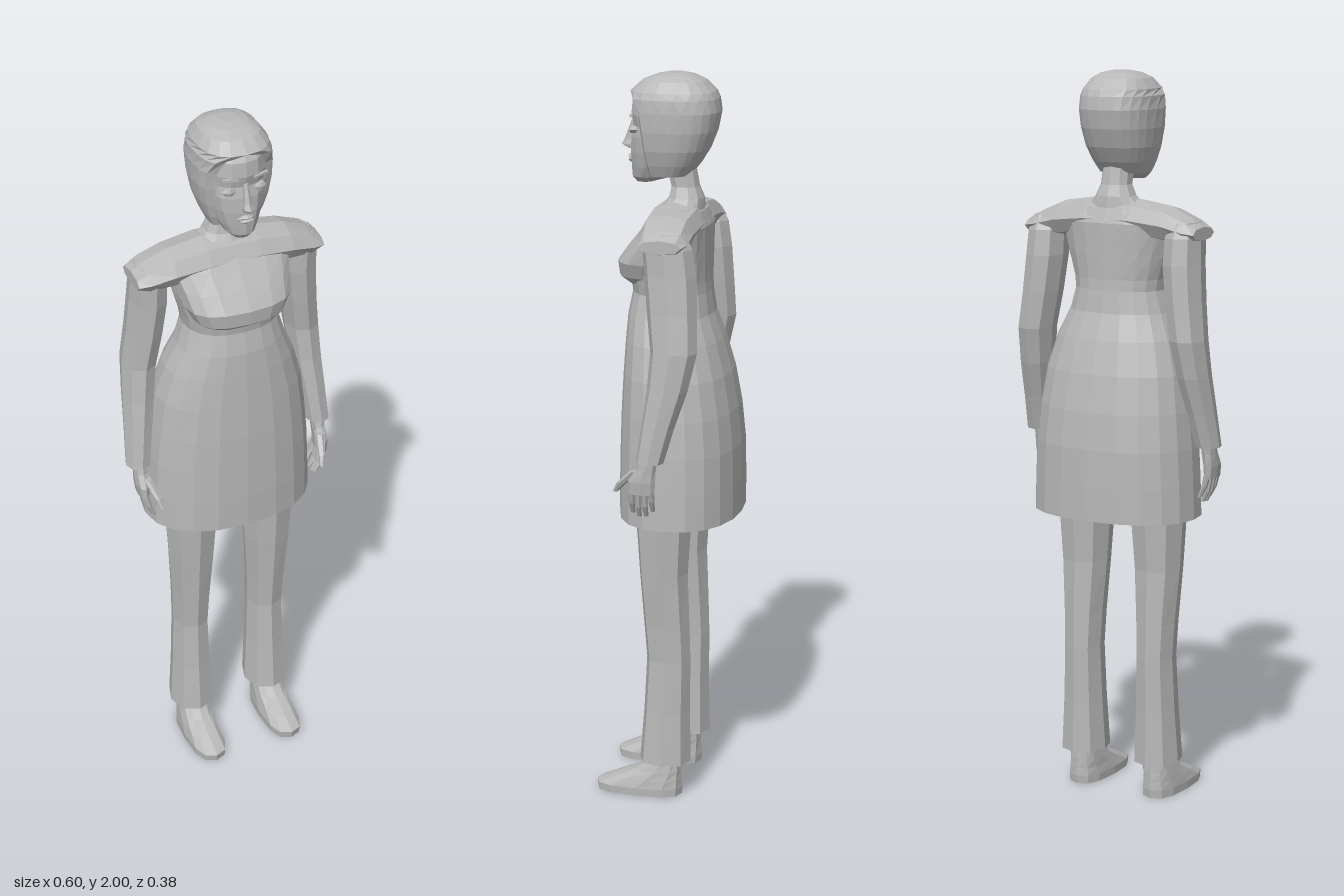
import * as THREE from 'three';

const grey = new THREE.MeshStandardMaterial({ color: 0xb8b8b8, side: THREE.DoubleSide });
grey.name = 'plain grey';

// Faceted loft through level rings [y, centreX, halfWidth, zFront, zBack, frontGapAngle], listed upwards.
function loft(rings, { n = 8, power = 2.4, bottom = true, top = true, arc = false } = {}) {
  const pts = rings.map(([y, cx, rx, zf, zb, gap = 0]) => {
    const row = [];
    for (let j = 0; j <= n; j++) {
      const a = gap + (j / n) * (Math.PI * 2 - 2 * gap);
      const bend = (v) => Math.sign(v) * Math.abs(v) ** (2 / power);
      const k = arc && gap > 0 && (j === 0 || j === n) ? 0.86 : 1; // turn open edges inwards
      row.push([cx + rx * bend(Math.sin(a)) * k, y, (zf + zb) / 2 + ((zf - zb) / 2) * bend(Math.cos(a)) * k]);
    }
    return row;
  });
  const out = [];
  const tri = (...p) => p.forEach((q) => out.push(...q));
  for (let i = 0; i < pts.length - 1; i++) {
    for (let j = 0; j < n; j++) {
      const [a, b, c, d] = [pts[i][j], pts[i][j + 1], pts[i + 1][j + 1], pts[i + 1][j]];
      tri(a, b, c);
      tri(a, c, d);
    }
  }
  const cap = (row, r, up) => {
    const c = [r[1], r[0], (r[3] + r[4]) / 2];
    for (let j = 0; j < n; j++) up ? tri(c, row[j], row[j + 1]) : tri(c, row[j + 1], row[j]);
  };
  if (bottom) cap(pts[0], rings[0], false);
  if (top) cap(pts.at(-1), rings.at(-1), true);
  const g = new THREE.BufferGeometry();
  g.setAttribute('position', new THREE.Float32BufferAttribute(out, 3));
  g.computeVertexNormals();
  return g;
}

export function createModel() {
  const model = new THREE.Group();
  const add = (name, geometry, parent = model) => {
    const m = new THREE.Mesh(geometry, grey);
    m.name = name;
    parent.add(m);
    return m;
  };

  // Dress, open at the hem
  add('dress', loft([
    [0.805, 0, 0.24, 0.14, -0.19], [0.9, 0, 0.237, 0.14, -0.19], [1.0, 0, 0.232, 0.138, -0.188],
    [1.1, 0, 0.222, 0.135, -0.178], [1.2, 0, 0.207, 0.13, -0.16], [1.29, 0, 0.18, 0.125, -0.135],
    [1.36, 0, 0.148, 0.12, -0.11], [1.42, 0, 0.13, 0.108, -0.102], [1.45, 0, 0.135, 0.112, -0.1],
    [1.52, 0, 0.155, 0.1, -0.1], [1.6, 0, 0.17, 0.06, -0.1], [1.64, 0, 0.13, 0.03, -0.085],
  ], { n: 20, power: 2.3, bottom: false }));

  // Bodice yoke overhanging the waist
  add('bodice', loft([
    [1.435, 0, 0.09, 0.105, 0], [1.465, 0, 0.125, 0.142, -0.02], [1.505, 0, 0.145, 0.145, -0.04],
    [1.55, 0, 0.155, 0.112, -0.06], [1.6, 0, 0.17, 0.07, -0.08], [1.65, 0, 0.12, 0.03, -0.07],
  ], { n: 16, power: 2.5 }));

  // Shoulder yoke, lofted sideways
  const shoulders = loft([
    [-0.262, -1.58, 0.018, 0.035, -0.08], [-0.23, -1.585, 0.035, 0.045, -0.09], [-0.165, -1.6, 0.048, 0.055, -0.09],
    [-0.07, -1.61, 0.052, 0.06, -0.095], [0.07, -1.61, 0.052, 0.06, -0.095], [0.165, -1.6, 0.048, 0.055, -0.09],
    [0.23, -1.585, 0.035, 0.045, -0.09], [0.262, -1.58, 0.018, 0.035, -0.08],
  ], { n: 8, power: 2.2 });
  add('shoulders', shoulders.rotateZ(-Math.PI / 2));

  add('neck', loft([
    [1.62, 0, 0.1, 0.045, -0.085], [1.67, 0, 0.055, 0.015, -0.08],
    [1.7, 0, 0.042, 0.008, -0.068], [1.78, 0, 0.04, 0.03, -0.055],
  ], { n: 10 }));

  // Head and face
  const head = new THREE.Group();
  head.name = 'head';
  model.add(head);
  add('face', loft([
    [1.708, 0, 0.022, 0.103, 0.06], [1.722, 0, 0.04, 0.115, 0.01], [1.75, 0, 0.058, 0.117, -0.04],
    [1.79, 0, 0.073, 0.119, -0.07], [1.83, 0, 0.083, 0.117, -0.09], [1.86, 0, 0.086, 0.11, -0.1],
    [1.89, 0, 0.087, 0.117, -0.1], [1.93, 0, 0.084, 0.113, -0.1], [1.965, 0, 0.06, 0.09, -0.08],
  ], { n: 16, power: 2.2 }), head);
  add('hair', loft([
    [1.73, 0, 0.066, 0.085, -0.045, 0.95], [1.76, 0, 0.08, 0.1, -0.07, 0.92], [1.8, 0, 0.093, 0.112, -0.095, 0.88],
    [1.85, 0, 0.101, 0.122, -0.115, 0.84], [1.9, 0, 0.103, 0.125, -0.125, 0.75], [1.935, 0, 0.1, 0.125, -0.12, 0.5],
    [1.953, 0, 0.094, 0.116, -0.112, 0], [1.98, 0, 0.075, 0.085, -0.085, 0], [1.994, 0, 0.052, 0.05, -0.055, 0],
    [2.0, 0, 0.025, 0.02, -0.03, 0],
  ], { n: 18, power: 2.5, bottom: false, arc: true }), head);
  add('nose', loft([
    [1.795, 0, 0.012, 0.128, 0.1], [1.805, 0, 0.015, 0.145, 0.1],
    [1.82, 0, 0.011, 0.137, 0.1], [1.87, 0, 0.007, 0.118, 0.1],
  ], { n: 6 }), head);
  add('lips', loft([
    [1.758, 0, 0.012, 0.12, 0.1], [1.765, 0, 0.021, 0.127, 0.1], [1.77, 0, 0.026, 0.121, 0.1],
    [1.775, 0, 0.021, 0.127, 0.1], [1.782, 0, 0.01, 0.12, 0.1],
  ], { n: 8, power: 2 }), head);

  for (const s of [1, -1]) {
    const side = s > 0 ? 'left' : 'right';
    const at = (rings) => rings.map(([y, x, ...rest]) => [y, s * x, ...rest]);

    // Eye and brow
    add(side + 'Eye', loft(at([
      [1.842, 0.042, 0.01, 0.112, 0.09], [1.851, 0.042, 0.02, 0.114, 0.085], [1.86, 0.042, 0.011, 0.111, 0.09],
    ]), { n: 8, power: 2 }), head);
    const brow = add(side + 'Brow', new THREE.BoxGeometry(0.042, 0.006, 0.008), head);
    brow.position.set(s * 0.042, 1.886, 0.109);
    brow.rotation.set(0, s * 0.25, s * 0.06);

    // Sleeved arm
    add(side + 'Arm', loft(at([
      [1.005, 0.268, 0.034, 0.04, -0.035], [1.1, 0.258, 0.038, 0.028, -0.062], [1.2, 0.247, 0.043, 0.015, -0.095],
      [1.3, 0.238, 0.046, 0.008, -0.118], [1.4, 0.224, 0.048, 0.02, -0.115], [1.5, 0.214, 0.05, 0.03, -0.11],
      [1.57, 0.213, 0.048, 0.035, -0.1], [1.61, 0.215, 0.032, 0.02, -0.08],
    ]), { n: 8, power: 2.2 }));

    // Hand: palm, four curled fingers, thumb
    const hand = new THREE.Group();
    hand.name = side + 'Hand';
    model.add(hand);
    add('palm', loft(at([
      [0.915, 0.266, 0.013, 0.064, -0.01], [0.95, 0.268, 0.016, 0.062, -0.012],
      [0.985, 0.266, 0.018, 0.04, -0.014], [1.03, 0.265, 0.019, 0.028, -0.02],
    ])), hand);
    for (let i = 0; i < 4; i++) {
      const z = -0.001 + i * 0.018;
      const tip = [0.862, 0.848, 0.846, 0.856][i];
      add('finger', loft(at([
        [tip, 0.242, 0.006, z + 0.008, z - 0.004], [tip + 0.03, 0.257, 0.008, z + 0.01, z - 0.007],
        [0.925, 0.266, 0.01, z + 0.009, z - 0.009],
      ]), { n: 6, power: 2 }), hand);
    }
    add('thumb', loft(at([
      [0.91, 0.238, 0.007, 0.112, 0.098], [0.935, 0.245, 0.01, 0.1, 0.074], [0.975, 0.258, 0.012, 0.06, 0.025],
    ]), { n: 6, power: 2 }), hand);

    // Trouser leg with flared cuff
    add(side + 'TrouserLeg', loft(at([
      [0.1, 0.118, 0.063, 0.07, -0.075], [0.25, 0.117, 0.055, 0.058, -0.072], [0.4, 0.116, 0.05, 0.05, -0.073],
      [0.5, 0.116, 0.054, 0.058, -0.07], [0.65, 0.116, 0.065, 0.07, -0.065], [0.8, 0.115, 0.075, 0.08, -0.075],
      [0.95, 0.108, 0.085, 0.085, -0.09], [1.08, 0.09, 0.088, 0.085, -0.1],
    ]), { n: 8, power: 2.3 }));

    // Shoe
    add(side + 'Shoe', loft(at([
      [0, 0.12, 0.05, 0.192, -0.05], [0.022, 0.12, 0.051, 0.195, -0.052], [0.045, 0.12, 0.047, 0.145, -0.05],
      [0.07, 0.119, 0.043, 0.085, -0.048], [0.1, 0.118, 0.038, 0.045, -0.046], [0.16, 0.117, 0.035, 0.035, -0.045],
    ]), { n: 12, power: 2.7 }));
  }
  return model;
}
